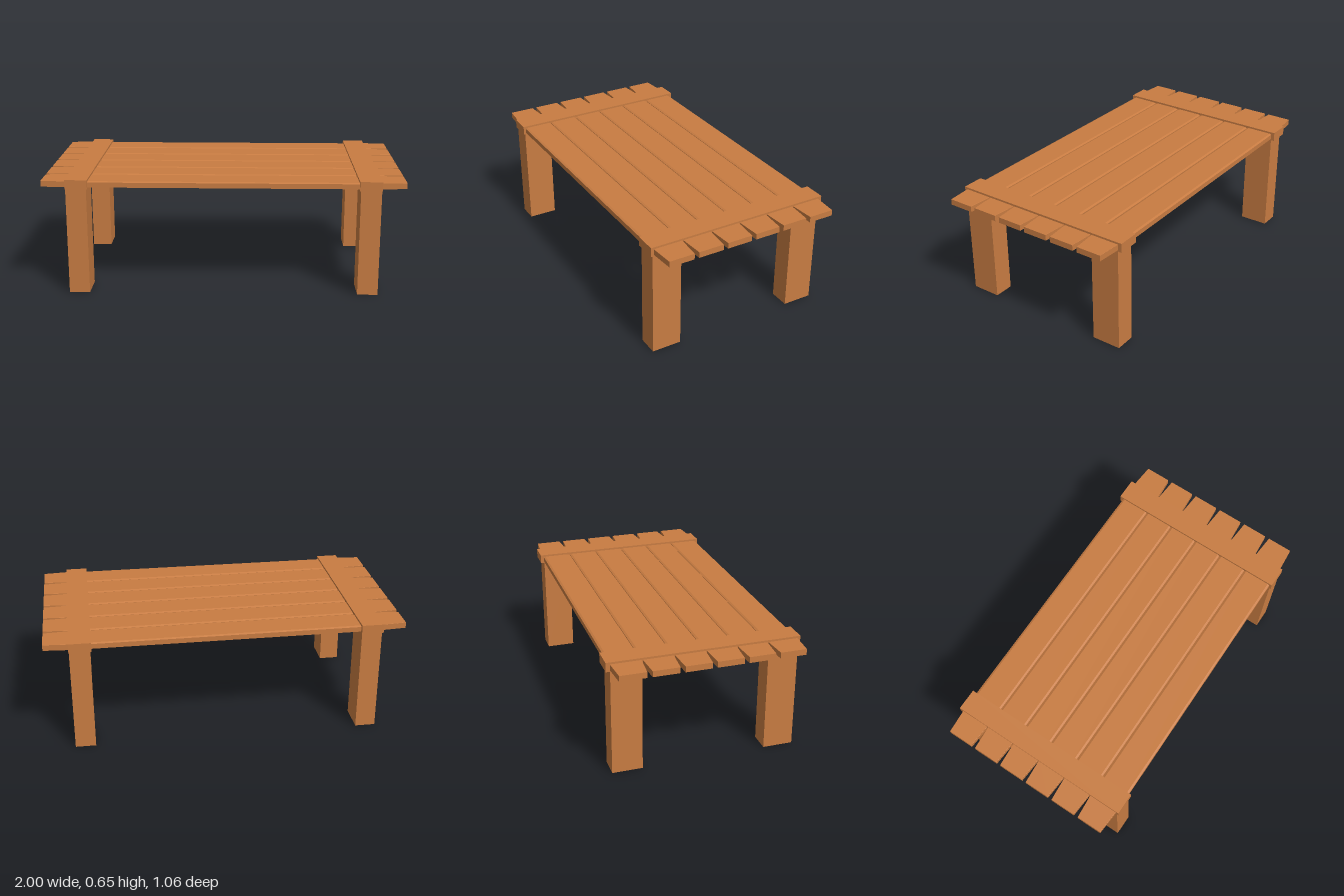
import * as THREE from 'three';

const wood = new THREE.MeshStandardMaterial({ color: 0xc87c42, flatShading: true });

function addBox(group, name, size, position) {
  const mesh = new THREE.Mesh(new THREE.BoxGeometry(...size), wood);
  mesh.name = name;
  mesh.position.set(...position);
  group.add(mesh);
}

// Plank lofted along x: tapered ends, softly bevelled top edges between the bars
function plankGeometry() {
  const bottom = 0.608, top = 0.641;
  // x, half width, bevel width, bevel drop
  const sections = [
    [-1, 0.0725, 0.001, 0.0005],
    [-0.86, 0.083, 0.001, 0.0005],
    [-0.8, 0.0845, 0.011, 0.005],
    [0.8, 0.0845, 0.011, 0.005],
    [0.86, 0.083, 0.001, 0.0005],
    [1, 0.0725, 0.001, 0.0005],
  ];
  const n = 6, positions = [], index = [];
  for (const [x, h, b, d] of sections) {
    positions.push(
      x, bottom, h, x, top - d, h, x, top, h - b,
      x, top, b - h, x, top - d, -h, x, bottom, -h
    );
  }
  for (let i = 0; i < sections.length - 1; i++) {
    for (let j = 0; j < n; j++) {
      const a = i * n + j, b = i * n + (j + 1) % n;
      index.push(a, b + n, b, a, a + n, b + n);
    }
  }
  const last = (sections.length - 1) * n;
  for (let k = 1; k < n - 1; k++) {
    index.push(0, k, k + 1, last, last + k + 1, last + k);
  }
  const indexed = new THREE.BufferGeometry();
  indexed.setAttribute('position', new THREE.Float32BufferAttribute(positions, 3));
  indexed.setIndex(index);
  const geometry = indexed.toNonIndexed();
  geometry.computeVertexNormals();
  return geometry;
}

export function createModel() {
  const table = new THREE.Group();
  table.name = 'plankTable';

  // Six table top planks
  const geometry = plankGeometry();
  for (let i = 0; i < 6; i++) {
    const plank = new THREE.Mesh(geometry, wood);
    plank.name = `plank${i + 1}`;
    plank.position.z = 0.003 + (i - 2.5) * 0.1716;
    table.add(plank);
  }

  // Cross bars and legs at both ends
  for (const side of [-1, 1]) {
    const label = side > 0 ? 'left' : 'right';
    addBox(table, `${label}CrossBar`, [0.123, 0.052, 1.062], [side * 0.803, 0.626, 0]);
    addBox(table, `${label}FrontLeg`, [0.114, 0.601, 0.168], [side * 0.806, 0.3005, 0.437]);
    addBox(table, `${label}BackLeg`, [0.114, 0.601, 0.168], [side * 0.806, 0.3005, -0.424]);
  }
  return table;
}
